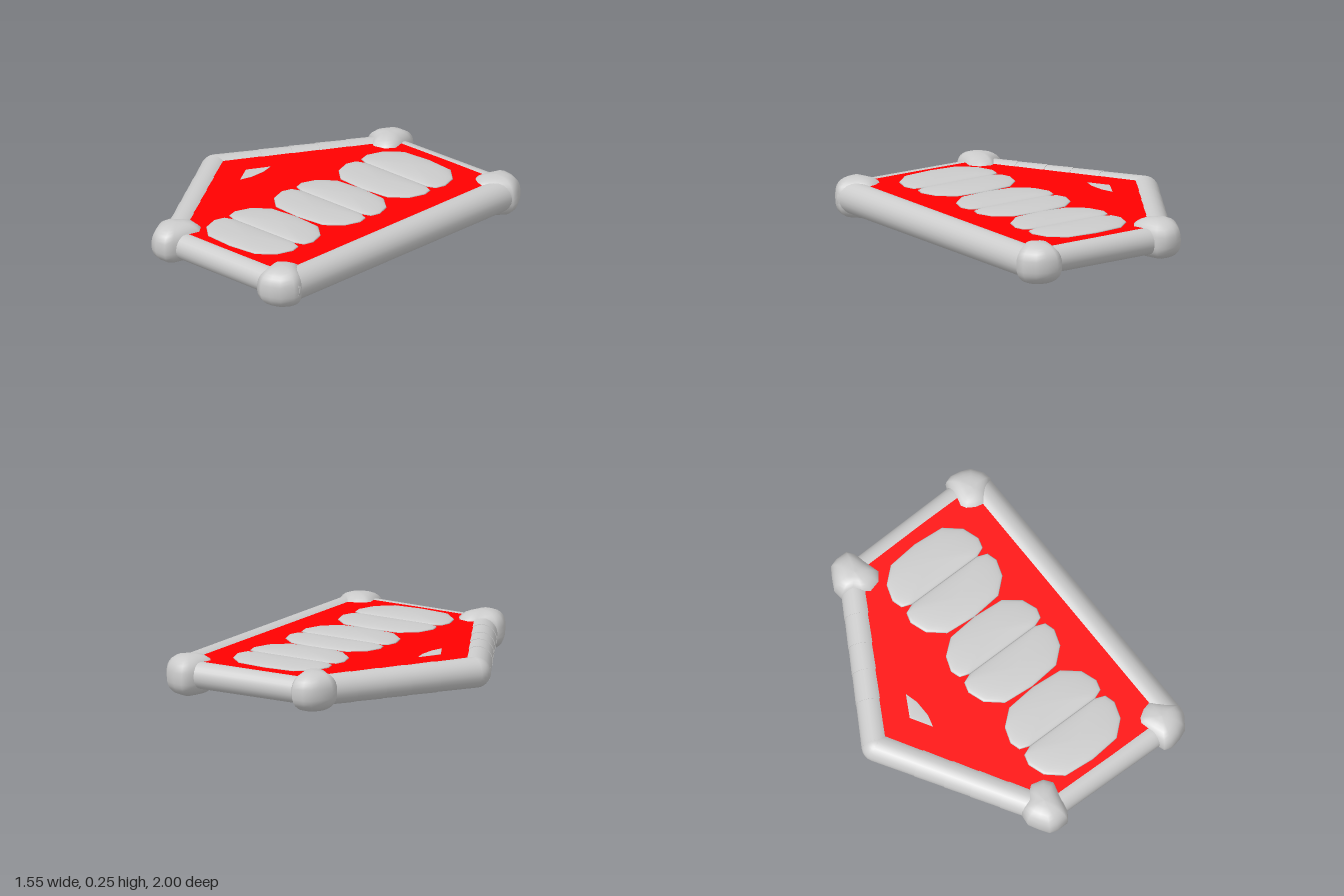
import * as THREE from 'three';

const grey = new THREE.MeshStandardMaterial({ color: 0xcccccc });
const red = new THREE.MeshStandardMaterial({ color: 0xff0000 });

// Rounded body: an [x, z] outline spanning low..high, domed by bulge above and below
function cushion(name, outline, low, high, bulge, power = 2) {
  const pts = outline.map(([x, z]) => new THREE.Vector2(x, z));
  if (THREE.ShapeUtils.area(pts) < 0) pts.reverse();
  const box = new THREE.Box2().setFromPoints(pts);
  const mid = box.getCenter(new THREE.Vector2());
  const steps = 8, rings = [];
  for (let i = -steps; i <= steps; i++) {
    const a = (Math.abs(i) / steps) * Math.PI / 2;
    const s = i === -steps || i === steps ? 0 : Math.pow(Math.cos(a), 2 / power);
    const h = bulge * Math.pow(Math.sin(a), 2 / power);
    if (i <= 0) rings.push([s, low - h]);
    if (i >= 0 && !(i === 0 && high === low)) rings.push([s, high + h]);
  }
  const n = pts.length, pos = [], index = [];
  rings.forEach(([s, y], j) => {
    for (let i = 0; i < n; i++) {
      pos.push(mid.x + (pts[i].x - mid.x) * s, y, mid.y + (pts[i].y - mid.y) * s);
      if (j === rings.length - 1) continue;
      const a = j * n + i, b = j * n + (i + 1) % n, c = a + n, d = b + n;
      if (j > 0) index.push(a, c, b);
      if (j < rings.length - 2) index.push(b, c, d);
      else if (j === 0) index.push(a, c, b);
    }
  });
  const geo = new THREE.BufferGeometry();
  geo.setAttribute('position', new THREE.Float32BufferAttribute(pos, 3));
  geo.setIndex(index);
  geo.computeVertexNormals();
  const mesh = new THREE.Mesh(geo, grey);
  mesh.name = name;
  return mesh;
}

// Round tube between two points, with a radius at each end
function tube(name, from, to, r0, r1 = r0) {
  const a = new THREE.Vector3(...from), b = new THREE.Vector3(...to);
  const dir = b.clone().sub(a);
  const mesh = new THREE.Mesh(new THREE.CylinderGeometry(r1, r0, dir.length(), 24), grey);
  mesh.position.copy(a).add(b).multiplyScalar(0.5);
  mesh.quaternion.setFromUnitVectors(new THREE.Vector3(0, 1, 0), dir.normalize());
  mesh.name = name;
  return mesh;
}

export function createModel() {
  const model = new THREE.Group();

  // Five-sided red floor panel
  const edge = [[-0.66, 0], [-0.155, 0.86], [0.64, 0.86], [0.64, -0.86], [-0.155, -0.86]];
  const shape = new THREE.Shape(edge.map(([x, z]) => new THREE.Vector2(x, z)));
  const floorGeo = new THREE.ExtrudeGeometry(shape, { depth: 0.138, bevelEnabled: false });
  floorGeo.rotateX(Math.PI / 2).translate(0, 0.198, 0);
  const floor = new THREE.Mesh(floorGeo, red);
  floor.name = 'floorPanel';
  model.add(floor);

  // Six pads in pairs sharing a straight edge: [shared z, far z]
  const half = [[0.23, 0], [0.285, 0.08], [0.302, 0.3], [0.27, 0.65], [0.18, 0.94]];
  const spans = [[-0.52, -0.79], [-0.52, -0.25], [0, -0.25], [0, 0.27], [0.54, 0.275], [0.54, 0.815]];
  spans.forEach(([z0, z1], i) => {
    const right = half.map(([x, t]) => [0.19 + x, z0 + (z1 - z0) * t]);
    const left = half.map(([x, t]) => [0.19 - x, z0 + (z1 - z0) * t]).reverse();
    model.add(cushion('pad' + (i + 1), [...right, [0.19, z1], ...left], 0.06, 0.199, 0.021));
  });

  // Small raised patch near the pointed end
  model.add(cushion('smallPatch',
    [[-0.46, 0], [-0.39, 0.12], [-0.37, 0.05], [-0.37, -0.05], [-0.39, -0.125]], 0.19, 0.199, 0.003));

  // Long tube opposite the point
  model.add(tube('longTube', [0.68, 0.12, -0.87], [0.685, 0.12, 0.87], 0.09));

  // Corner sleeve outlines for z > 0
  const pointSide = [[-0.2, 1], [-0.13, 1], [-0.1, 0.96], [-0.075, 0.87], [-0.05, 0.78], [-0.09, 0.725],
    [-0.17, 0.705], [-0.21, 0.735], [-0.25, 0.78], [-0.305, 0.81], [-0.312, 0.87], [-0.28, 0.93], [-0.245, 0.985]];
  const longSide = [[0.505, 0.8], [0.53, 0.9], [0.56, 0.985], [0.6, 1], [0.66, 0.99], [0.72, 0.965],
    [0.765, 0.9], [0.775, 0.85], [0.7, 0.765], [0.64, 0.715], [0.58, 0.73], [0.525, 0.765]];

  for (const s of [1, -1]) {
    const end = s > 0 ? 'front' : 'back';
    const flip = list => list.map(([x, z]) => [x, z * s]);

    // Short straight tube
    model.add(tube(end + 'Tube', [-0.18, 0.125, 0.868 * s], [0.64, 0.125, 0.882 * s], 0.075));

    // Slanted tube made of slightly stepped segments
    const stops = [0, 0.26, 0.44, 0.6, 0.78, 1];
    const at = t => [-0.69 + 0.5 * t, 0.128, 0.84 * t * s];
    for (let i = 0; i < stops.length - 1; i++) {
      model.add(tube(end + 'SlantedTube' + (i + 1), at(stops[i]), at(stops[i + 1]), 0.086, 0.0835));
    }

    // Corner sleeves
    model.add(cushion(end + 'PointSideCorner', flip(pointSide), 0.132, 0.132, 0.113, 2.5));
    model.add(cushion(end + 'LongSideCorner', flip(longSide), 0.116, 0.116, 0.116, 2.5));
  }

  // Rounded joint where the slanted tubes meet
  const apex = new THREE.Mesh(new THREE.SphereGeometry(0.086, 24, 16), grey);
  apex.position.set(-0.69, 0.128, 0);
  apex.name = 'pointJoint';
  model.add(apex);

  return model;
}
